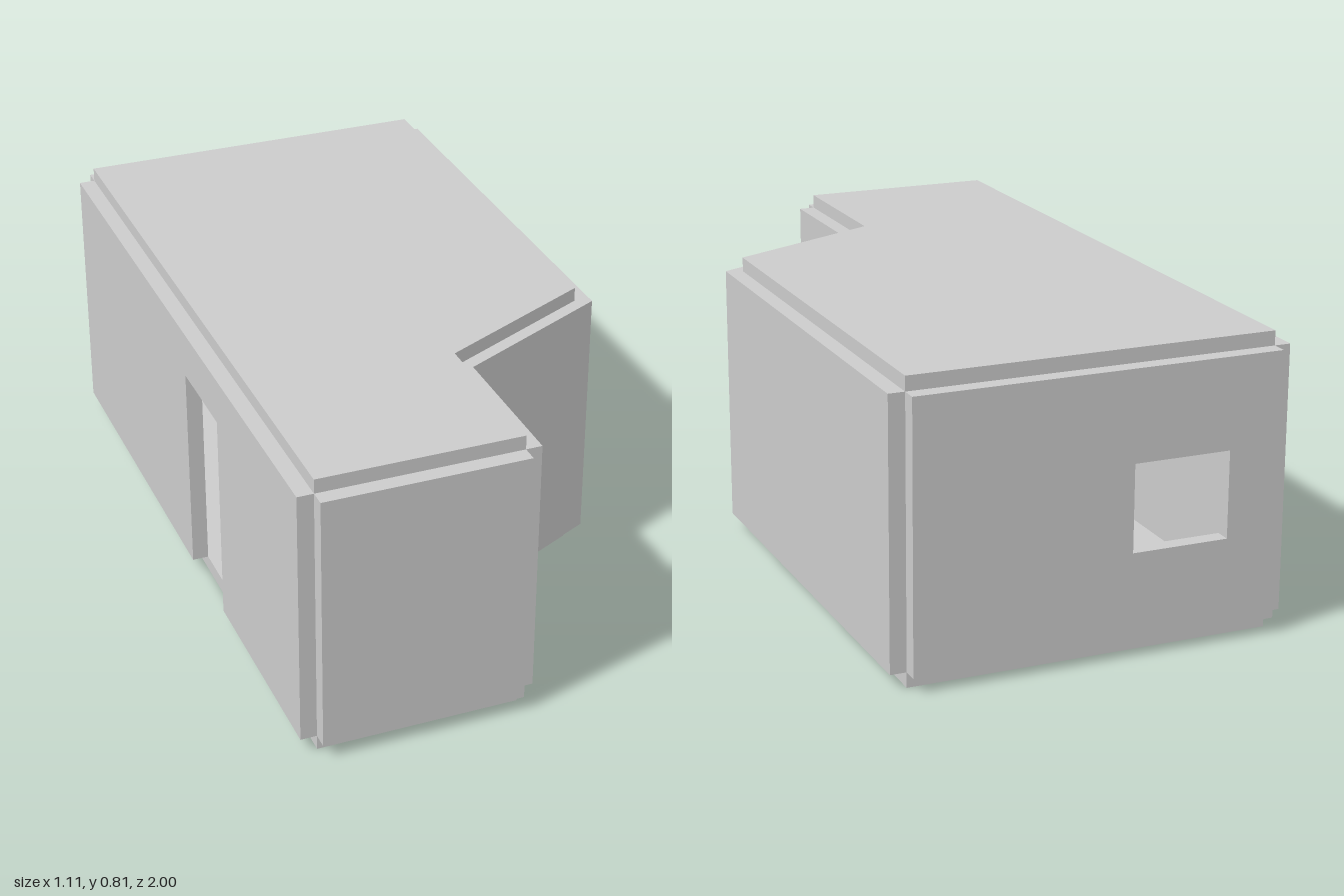
import * as THREE from 'three';

const FLOOR = 0.042, CEILING = 0.775, TOP = 0.815;
const THICK = 0.045;

const material = new THREE.MeshStandardMaterial({ color: 0xcccccc, flatShading: true });

const toShape = (points) => new THREE.Shape(points.map(([x, y]) => new THREE.Vector2(x, y)));

const extrude = (shape, depth) =>
  new THREE.ExtrudeGeometry(shape, { depth, bevelEnabled: false });

// Solid standing on an [x, z] plan outline between two heights
function planSolid(name, plan, y0, y1) {
  const geometry = extrude(toShape(plan.map(([x, z]) => [x, -z])), y1 - y0);
  geometry.rotateX(-Math.PI / 2);
  const mesh = new THREE.Mesh(geometry, material);
  mesh.name = name;
  mesh.position.y = y0;
  return mesh;
}

// Upright panel drawn in elevation
function panel(name, shape) {
  const mesh = new THREE.Mesh(extrude(shape, THICK), material);
  mesh.name = name;
  return mesh;
}

export function createModel() {
  const room = new THREE.Group();
  room.name = 'room';

  // Inner outline of the room, with the cut-away corner
  const [l, r, n, back, front] = [-0.51, 0.507, 0.052, -0.955, 0.955];
  const [z1, z2] = [0.285, 0.505];
  const plan = [[l, front], [n, front], [n, z2], [r, z1], [r, back], [l, back]];
  room.add(planSolid('floor', plan, 0, FLOOR));
  room.add(planSolid('ceiling', plan, CEILING, TOP));

  // Plain walls, mitred where they meet the slanted one
  const outerN = [n + THICK, 0.525], outerR = [r + THICK, 0.304];
  const walls = {
    frontWall: [[l, front], [l, front + THICK], [n, front + THICK], [n, front]],
    nookWall: [[n, front], [n + THICK, front], outerN, [n, z2]],
    slantedWall: [[n, z2], outerN, outerR, [r, z1]],
    sideWall: [[r, z1], outerR, [r + THICK, back], [r, back]],
  };
  for (const [name, outline] of Object.entries(walls)) {
    room.add(planSolid(name, outline, FLOOR, CEILING));
  }

  // Back wall with a window opening
  const backShape = toShape([[l, FLOOR], [r, FLOOR], [r, CEILING], [l, CEILING]]);
  backShape.holes.push(toShape([[-0.365, 0.285], [-0.365, 0.525], [-0.095, 0.525], [-0.095, 0.285]]));
  const backWall = panel('windowWall', backShape);
  backWall.position.z = back - THICK;
  room.add(backWall);

  // Long wall with a doorway reaching down to the floor
  const [d0, d1, doorTop] = [0.07, 0.34, 0.645];
  const doorWall = panel('doorWall', toShape([
    [back, FLOOR], [d0, FLOOR], [d0, doorTop], [d1, doorTop], [d1, FLOOR],
    [front, FLOOR], [front, CEILING], [back, CEILING],
  ]));
  doorWall.rotation.y = -Math.PI / 2;
  doorWall.position.x = l;
  room.add(doorWall);

  return room;
}
